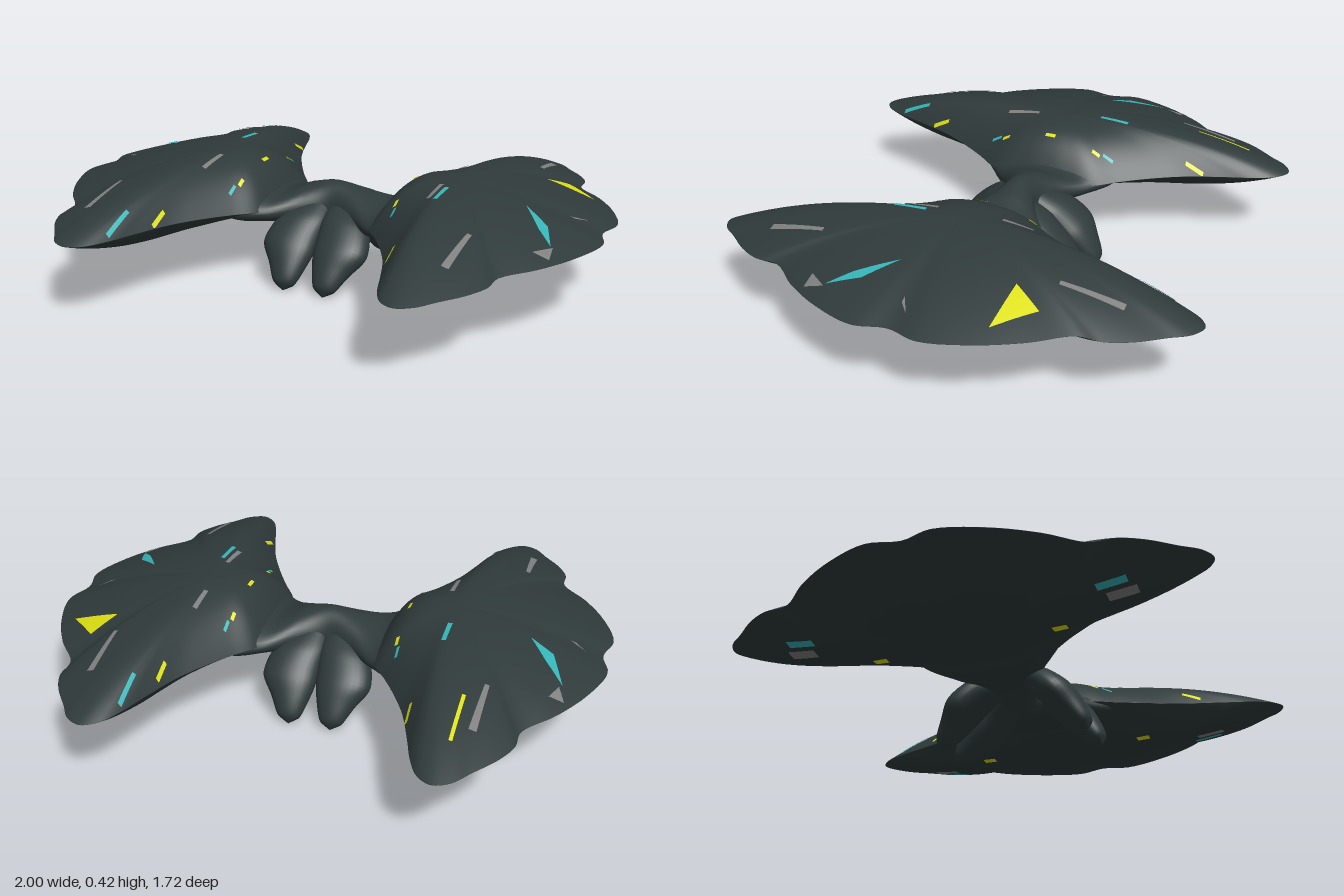
import * as THREE from 'three';
import { mergeVertices } from 'three/addons/utils/BufferGeometryUtils.js';

const mat = (color, side = THREE.FrontSide) => new THREE.MeshStandardMaterial({ color, side });
const hull = mat(0x2f3a3b);
const yellow = mat(0xdde010, THREE.DoubleSide);
const cyan = mat(0x35b5b8, THREE.DoubleSide);
const grey = mat(0x808080, THREE.DoubleSide);

// Smooth surface from a rule fn(u, v) -> [x, y, z], optionally mirrored in x and z
function surface(name, fn, nu, nv, material, sx = 1, sz = 1) {
  const pos = [], idx = [];
  for (let i = 0; i <= nu; i++) {
    for (let j = 0; j <= nv; j++) {
      const [x, y, z] = fn(i / nu, j / nv);
      pos.push(x * sx, y, z * sz);
    }
  }
  for (let i = 0; i < nu; i++) {
    for (let j = 0; j < nv; j++) {
      const a = i * (nv + 1) + j, b = a + nv + 1;
      if (sx * sz > 0) idx.push(a, b, b + 1, a, b + 1, a + 1);
      else idx.push(a, b + 1, b, a, a + 1, b + 1);
    }
  }
  let g = new THREE.BufferGeometry();
  g.setAttribute('position', new THREE.Float32BufferAttribute(pos, 3));
  g.setIndex(idx);
  g = mergeVertices(g, 1e-5);
  g.computeVertexNormals();
  const mesh = new THREE.Mesh(g, material);
  mesh.name = name;
  return mesh;
}

// Lobed wing outline (x, z), mirrored across z = 0
const CX = 0.45;
const half = [[0.975, 0], [1.0, 0.11], [0.95, 0.27], [0.87, 0.41], [0.778, 0.525], [0.772, 0.61],
  [0.735, 0.69], [0.67, 0.775], [0.625, 0.835], [0.57, 0.86], [0.52, 0.83], [0.48, 0.755],
  [0.445, 0.65], [0.395, 0.51], [0.34, 0.4], [0.275, 0.29], [0.215, 0.2], [0.195, 0.1], [0.19, 0]];
const loop = [...half, ...half.slice(1, -1).reverse().map(([x, z]) => [x, -z])];
const outline = new THREE.CatmullRomCurve3(
  loop.map(([x, z]) => new THREE.Vector3(x, 0, z)), true, 'centripetal');
const rim = outline.getPoints(180);

// Wing height at fraction s from crest to rim, in direction a
function wingY(s, a, top) {
  const c = Math.cos(a), n = Math.sin(a) ** 2;
  const edge = 0.27 + 0.025 * c + 0.003 * n;
  const p = top ? 1.6 + 0.8 * n + (c < 0 ? 1.8 * c * c : 0) : 2 + n + n ** 6;
  return edge + ((top ? 0.42 : 0.189) - edge) * (1 - s ** p);
}

function wingPoint(u, v) {
  const r = rim[Math.round(u * 180)];
  const s = Math.sin(Math.PI * v) ** 0.9;
  const a = Math.atan2(r.z, r.x - CX);
  return [CX + (r.x - CX) * s, wingY(s, a, v <= 0.5), r.z * s];
}

// Height on the wing above or below a plan position
function drape(x, z, top) {
  const dx = x - CX, a = Math.atan2(z, dx);
  let R = 1;
  for (let i = 0; i < 180; i++) {
    const p = rim[i], q = rim[i + 1];
    const d = dx * (q.z - p.z) - z * (q.x - p.x);
    const k = ((p.x - CX) * (q.z - p.z) - p.z * (q.x - p.x)) / d;
    const w = dx * k - (p.x - CX), h = z * k - p.z;
    const f = (w * (q.x - p.x) + h * (q.z - p.z)) / ((q.x - p.x) ** 2 + (q.z - p.z) ** 2);
    if (k > 0 && f >= -1e-4 && f <= 1.0001) R = k;
  }
  return wingY(Math.min(1, 1 / R), a, top) + (top ? 0.004 : -0.004);
}

// Coloured marking from four plan corners, laid on the wing
function marking(name, corners, material, top = true) {
  const sx = Math.sign(corners[0][0]);
  const [a, b, c, d] = corners.map(([x, z]) => [Math.abs(x), z]);
  return surface(name, (u, v) => {
    const at = k => (a[k] * (1 - u) + b[k] * u) * (1 - v) + (d[k] * (1 - u) + c[k] * u) * v;
    return [at(0), drape(at(0), at(1), top), at(1)];
  }, 8, 8, material, sx);
}
const bar = (x, z0, z1, w = 0.016) => [[x, z0], [x + w, z0], [x + w, z1], [x, z1]];
const tri = (a, b, c) => [a, b, c, c];

const curve = rows => new THREE.CatmullRomCurve3(rows.map(r => new THREE.Vector3(...r)));

export function createModel() {
  const group = new THREE.Group();

  for (const sx of [1, -1]) {
    group.add(surface(sx > 0 ? 'leftWing' : 'rightWing', wingPoint, 180, 48, hull, sx));
  }

  // Body: saddle-shaped bridge between the wings; sizes are half height and half depth
  const bridgeC = [[0, 0.237], [0.1, 0.25], [0.2, 0.242], [0.3, 0.258], [0.4, 0.275]];
  const bridgeS = [[0.113, 0.075], [0.08, 0.11], [0.056, 0.19], [0.065, 0.27], [0.04, 0.28]];
  const mirrored = (rows, fn) => [...rows.slice(1).reverse().map(r => fn(r, -1)), ...rows.map(r => fn(r, 1))];
  const bc = curve(mirrored(bridgeC, (r, s) => [r[0] * s, r[1], 0]));
  const bs = curve(mirrored(bridgeS, r => [0, r[0], r[1]]));
  group.add(surface('body', (u, v) => {
    const c = bc.getPoint(u), s = bs.getPoint(u), f = v * Math.PI * 2;
    return [c.x, c.y + s.y * Math.sin(f), s.z * Math.cos(f)];
  }, 64, 36, hull));

  // Four petal-shaped legs; sizes are half width and half thickness
  const lc = curve([[0.04, 0.275, 0.02], [0.085, 0.21, 0.11], [0.1, 0.145, 0.18],
    [0.085, 0.08, 0.235], [0.079, 0.03, 0.272], [0.078, 0.006, 0.282]]);
  const ls = curve([[0.04, 0.03, 0], [0.095, 0.055, 0], [0.1, 0.058, 0],
    [0.068, 0.046, 0], [0.04, 0.028, 0], [0, 0, 0]]);
  for (const sx of [1, -1]) {
    for (const sz of [1, -1]) {
      const name = (sz > 0 ? 'front' : 'back') + (sx > 0 ? 'Left' : 'Right') + 'Leg';
      group.add(surface(name, (u, v) => {
        const c = lc.getPoint(u), s = ls.getPoint(u), f = v * Math.PI * 2, n = -s.y * Math.sin(f);
        return [c.x + s.x * Math.cos(f), Math.max(0, c.y + 0.6 * n), c.z + 0.8 * n];
      }, 32, 28, hull, sx, sz));
    }
  }

  // Markings on top
  const marks = [
    [yellow, tri([0.76, -0.4], [0.88, -0.29], [0.7, -0.3])],
    [yellow, bar(-0.595, -0.7, -0.5, 0.012)],
    [cyan, [[0.73, 0.08], [0.83, 0.17], [0.87, 0.28], [0.81, 0.21]]],
    [cyan, [[-0.87, -0.28], [-0.8, -0.19], [-0.735, -0.09], [-0.82, -0.14]]],
    [cyan, bar(0.46, 0.13, 0.25)], [cyan, bar(-0.475, -0.25, -0.14)],
    [cyan, bar(0.48, -0.74, -0.62, 0.012)], [cyan, bar(-0.49, 0.62, 0.74, 0.012)],
    [grey, tri([0.878, 0.28], [0.885, 0.35], [0.83, 0.35])],
    [grey, tri([-0.885, -0.35], [-0.835, -0.35], [-0.86, -0.29])],
    [grey, bar(0.42, -0.24, -0.13)]
  ];
  for (const sx of [1, -1]) {
    marks.push([grey, tri([0.86 * sx, 0], [0.92 * sx, -0.035], [0.88 * sx, 0])]);
    marks.push([grey, bar(0.43 * sx, 0.1, 0.23)]);
    marks.push([yellow, bar(0.3 * sx, -0.02, 0.02, 0.012)]);
    for (const sz of [1, -1]) {
      marks.push([grey, [[0.63 * sx, 0.63 * sz], [0.655 * sx, 0.63 * sz], [0.655 * sx, 0.42 * sz], [0.64 * sx, 0.42 * sz]]]);
      marks.push([yellow, bar(0.425 * sx, 0.5 * sz, 0.57 * sz, 0.01)]);
      marks.push([yellow, bar(0.3 * sx, 0.17 * sz, 0.2 * sz, 0.012)]);
      marks.push([cyan, bar(0.31 * sx, 0.21 * sz, 0.25 * sz, 0.01)]);
    }
  }
  for (const [m, c] of marks) group.add(marking('topMarking', c, m));

  // Markings underneath
  for (const sx of [1, -1]) {
    for (const sz of [1, -1]) {
      group.add(marking('underMarking', bar(0.56 * sx, 0.52 * sz, 0.62 * sz, 0.04 * sx), grey, false));
      group.add(marking('underMarking', bar(0.62 * sx, 0.5 * sz, 0.6 * sz, 0.03 * sx), cyan, false));
      group.add(marking('underMarking', bar(0.46 * sx, 0.3 * sz, 0.35 * sz, 0.03 * sx), yellow, false));
    }
  }

  // Slight bank to one side
  group.rotation.z = -0.012;
  return group;
}
